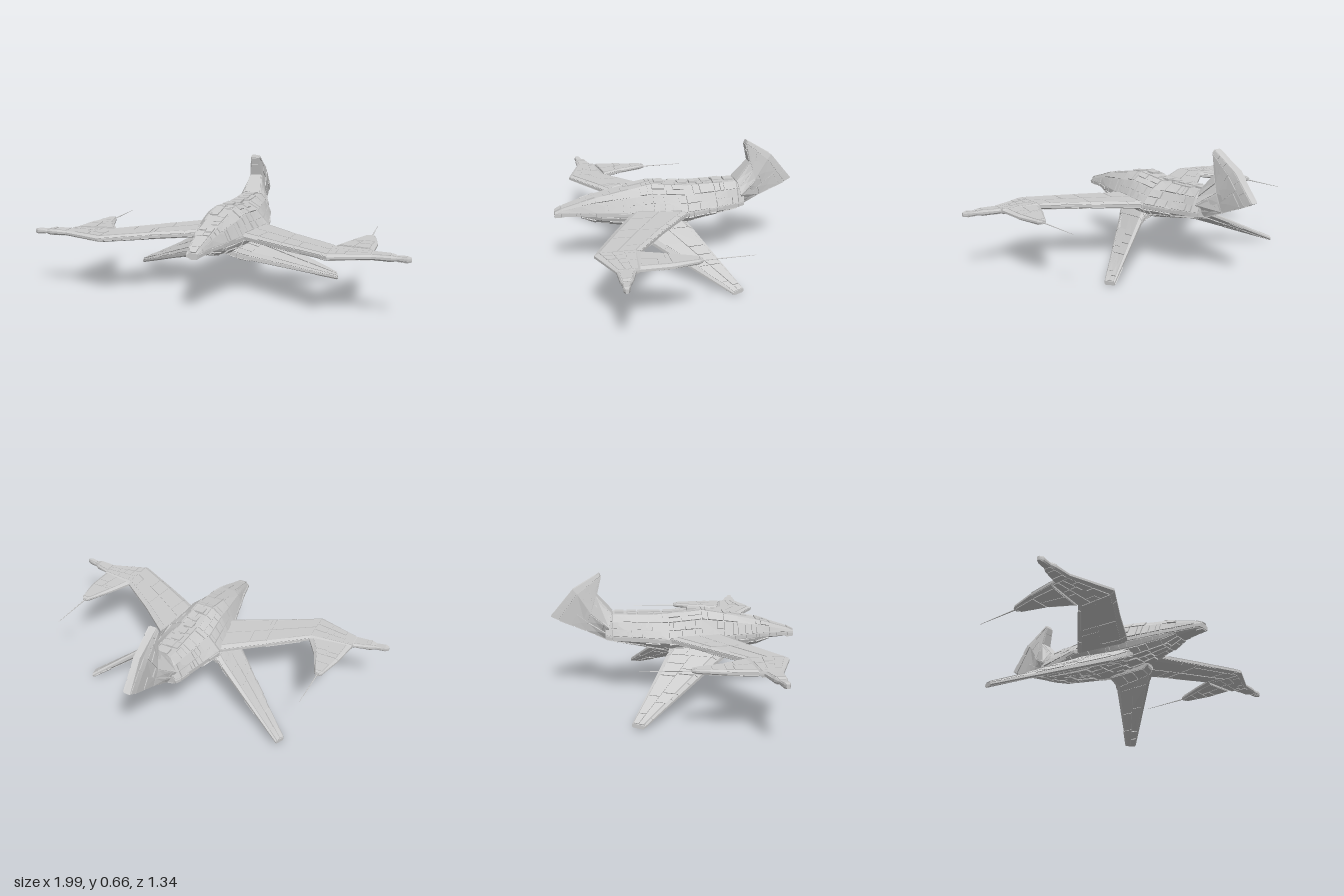
import * as THREE from 'three';
import { mergeGeometries } from 'three/addons/utils/BufferGeometryUtils.js';

const V = (x, y, z) => new THREE.Vector3(x, y, z);
const material = new THREE.MeshStandardMaterial({ color: 0xcccccc, flatShading: true });

// small seeded generator for the plating
let seed = 7;
const rand = () => (seed = (seed * 16807) % 2147483647) / 2147483647;
const centre = (pts) => pts.reduce((s, p) => s.add(p), V(0, 0, 0)).divideScalar(pts.length);

// closed solid from cross-sections, turned outward by its signed volume
function loft(rings) {
  const tris = [], n = rings[0].length;
  for (let i = 0; i < rings.length - 1; i++)
    for (let j = 0; j < n; j++) {
      const k = (j + 1) % n, a = rings[i], b = rings[i + 1];
      tris.push([a[j], b[j], b[k]], [a[j], b[k], a[k]]);
    }
  const first = rings[0], last = rings[rings.length - 1], c0 = centre(first), c1 = centre(last);
  for (let j = 0; j < n; j++) {
    const k = (j + 1) % n;
    tris.push([c0, first[j], first[k]], [c1, last[k], last[j]]);
  }
  let volume = 0;
  for (const [a, b, c] of tris)
    volume += a.clone().sub(c0).dot(b.clone().sub(c0).cross(c.clone().sub(c0)));
  const pos = [];
  for (const [a, b, c] of tris)
    for (const p of volume > 0 ? [a, b, c] : [a, c, b]) pos.push(p.x, p.y, p.z);
  const g = new THREE.BufferGeometry();
  g.setAttribute('position', new THREE.Float32BufferAttribute(pos, 3));
  g.computeVertexNormals();
  return g;
}

// raised plates of varied size over one four-cornered face
function plates(a, b, c, d, outward, cell, height) {
  const out = [];
  const at = (u, v) => a.clone().lerp(b, u).lerp(d.clone().lerp(c, u), v);
  const normal = c.clone().sub(a).cross(d.clone().sub(b)).normalize();
  if (normal.dot(outward) < 0) normal.negate();
  const lu = (a.distanceTo(b) + d.distanceTo(c)) / 2, lv = (a.distanceTo(d) + b.distanceTo(c)) / 2;
  if (Math.min(lu, lv) < 0.02) return out;
  const nv = Math.max(1, Math.round(lv / cell)), gu = 0.003 / lu, gv = 0.003 / lv;
  for (let j = 0; j < nv; j++) {
    let u = 0;
    while (u < 0.98) {
      let end = Math.min(1, u + (cell * (0.5 + rand() * 1.8)) / lu);
      if (1 - end < 0.02 / lu) end = 1;
      const u0 = u + gu, u1 = end - gu, v0 = j / nv + gv, v1 = (j + 1) / nv - gv;
      u = end;
      if (rand() < 0.15 || u1 <= u0) continue;
      const quad = [at(u0, v0), at(u1, v0), at(u1, v1), at(u0, v1)];
      const h = height * (0.35 + 0.65 * rand());
      out.push(loft([
        quad.map((p) => p.clone().addScaledVector(normal, -0.002)),
        quad.map((p) => p.clone().addScaledVector(normal, h)),
      ]));
    }
  }
  return out;
}

// hull body with plating on all its large faces
function platedHull(name, rings, cell, height) {
  const group = new THREE.Group(), parts = [], n = rings[0].length;
  group.name = name;
  const hull = new THREE.Mesh(loft(rings), material);
  hull.name = name + 'Core';
  group.add(hull);
  for (let i = 0; i < rings.length - 1; i++) {
    const mid = centre([...rings[i], ...rings[i + 1]]);
    for (let j = 0; j < n; j++) {
      const k = (j + 1) % n, q = [rings[i][j], rings[i + 1][j], rings[i + 1][k], rings[i][k]];
      parts.push(...plates(...q, centre(q).sub(mid), cell, height));
    }
  }
  if (parts.length) {
    const plating = new THREE.Mesh(mergeGeometries(parts), material);
    plating.name = name + 'Plating';
    group.add(plating);
  }
  return group;
}

// blade section: lead and trail points, half thickness along dir, chamfered edges
const blade = (stations, dir) => stations.map(([lead, trail, t]) =>
  [[0, 0.4], [0.1, 1], [0.9, 1], [1, 0.4], [1, -0.4], [0.9, -1], [0.1, -1], [0, -0.4]].map(
    ([u, s]) => V(...lead).lerp(V(...trail), u).addScaledVector(dir, s * t)));

export function createModel() {
  seed = 7;
  const model = new THREE.Group();
  const up = V(0, 1, 0);

  // fuselage: z, half width, widest y, top half width, top y, bottom half width, bottom y
  const sections = [
    [0.67, 0.026, 0.315, 0.018, 0.33, 0.02, 0.303],
    [0.63, 0.036, 0.318, 0.026, 0.35, 0.026, 0.303],
    [0.53, 0.055, 0.32, 0.036, 0.38, 0.035, 0.297],
    [0.45, 0.08, 0.32, 0.042, 0.402, 0.05, 0.268],
    [0.27, 0.125, 0.318, 0.05, 0.438, 0.075, 0.25],
    [0.15, 0.152, 0.318, 0.046, 0.458, 0.085, 0.25],
    [-0.03, 0.182, 0.318, 0.048, 0.438, 0.09, 0.25],
    [-0.2, 0.142, 0.32, 0.05, 0.438, 0.07, 0.276],
    [-0.33, 0.112, 0.322, 0.05, 0.442, 0.06, 0.3],
    [-0.37, 0.095, 0.325, 0.045, 0.42, 0.05, 0.308],
  ];
  const fuselage = sections.map(([z, w, y, tw, ty, bw, by]) => {
    const sw = tw + (w - tw) * 0.5, sy = y + (ty - y) * 0.7;
    const lw = bw + (w - bw) * 0.75, ly = y + (by - y) * 0.6;
    const half = [[tw, ty], [sw, sy], [w, y + 0.01], [w, y - 0.012], [lw, ly], [bw, by]];
    return [...half, ...half.map(([x, v]) => [-x, v]).reverse()].map(([x, v]) => V(x - 0.007, v, z));
  });
  model.add(platedHull('fuselage', fuselage, 0.045, 0.009));

  // dorsal spine blocks
  for (let i = 0; i < 7; i++) {
    const block = new THREE.Mesh(new THREE.BoxGeometry(0.05 - 0.012 * (i % 2), 0.014, 0.05), material);
    block.name = 'spineBlock';
    block.position.set(-0.007, i === 0 ? 0.46 : 0.444, 0.1 - i * 0.066);
    model.add(block);
  }

  // swept tail: neck flaring into an upright fin
  const tail = [
    [[0.335, 0.444], [0.37, 0.306], [0.37, 0.306], 0.1, 0.05],
    [[0.42, 0.54], [0.45, 0.445], [0.475, 0.348], 0.045, 0.032],
    [[0.395, 0.645], [0.52, 0.55], [0.625, 0.408], 0.033, 0.024],
    [[0.402, 0.662], [0.545, 0.575], [0.668, 0.428], 0.024, 0.018],
  ].map(([a, m, b, t, e], i) => {
    const mid = i ? m : [0.35, 0.375];
    const side = [[a, e], [mid, t], [b, e]].map(([p, w]) => [w, p[1], -p[0]]);
    return [...side, ...side.map(([x, y, z]) => [-x, y, z]).reverse()].map(([x, y, z]) => V(x - 0.007, y, z));
  });
  model.add(platedHull('tailFin', tail, 0.06, 0.006));

  // per side: elbow and tip positions differ a little
  const sides = [
    { label: 'right', s: -1, elbow: 0.578, boom: [[0.807, 0.578], [0.786, 0.65], [0.752, 0.704]],
      needle: 0.727, needleEnd: 0.2, root: 0.14, trail: 0.185, tip: 0.655, tipTrail: 0.635 },
    { label: 'left', s: 1, elbow: 0.61, boom: [[0.807, 0.61], [0.807, 0.66], [0.78, 0.73]],
      needle: 0.754, needleEnd: 0.215, root: 0.085, trail: 0.17, tip: 0.548, tipTrail: 0.53 },
  ];
  for (const { label, s, elbow, boom, needle, needleEnd, root, trail, tip, tipTrail } of sides) {
    // forward-swept main wing in two panels
    const span = (x0, z0, x1, z1, t) => [[s * x0, 0.32, z0], [s * x1, 0.32, z1], t];
    const wingStations = [
      span(0.06, 0.23, 0.1, -0.06, 0.019),
      span(0.12, 0.27, 0.18, -0.025, 0.019),
      span(0.355, 0.4, 0.385, 0.148, 0.017),
      span(elbow, 0.535, elbow, 0.315, 0.015),
    ];
    model.add(platedHull(label + 'MainWing', blade(wingStations, up), 0.12, 0.004));

    // wing pod with stepped outer tip
    const pod = [
      span(elbow, 0.535, elbow, 0.315, 0.015),
      span(0.807, 0.46, 0.807, 0.35, 0.013),
      span(0.81, 0.46, 0.81, 0.37, 0.012),
      span(0.9, 0.46, 0.9, 0.398, 0.015),
      span(0.925, 0.453, 0.925, 0.413, 0.01),
      span(0.975, 0.458, 0.975, 0.426, 0.014),
      span(0.994, 0.45, 0.994, 0.435, 0.01),
    ];
    model.add(platedHull(label + 'WingPod', blade(pod, up), 0.05, 0.004));

    // tapering boom behind the pod
    const boomZ = [0.35, 0.2, 0.065];
    const boomRings = boom.map(([o, i], n) => span(o, boomZ[n], i, boomZ[n] - (n ? 0 : 0.035), 0.015 - n * 0.002));
    boomRings.push(span(needle + 0.012, 0.045, needle - 0.012, 0.045, 0.007));
    model.add(platedHull(label + 'PodBoom', blade(boomRings, up), 0.07, 0.004));

    // needle antenna
    const length = 0.06 + needleEnd;
    const antenna = new THREE.Mesh(new THREE.CylinderGeometry(0.0012, 0.004, length, 6), material);
    antenna.name = label + 'Antenna';
    antenna.rotation.x = -Math.PI / 2;
    antenna.position.set(s * needle, 0.318, 0.06 - length / 2);
    model.add(antenna);

    // drooping lower wing swept back from the belly
    const lower = [
      [[s * (root - 0.05), 0.245, 0.28], [s * (trail - 0.09), 0.28, -0.02], 0.03],
      [[s * root, 0.228, 0.28], [s * trail, 0.25, -0.03], 0.028],
      [[s * (root + 0.055), 0.2, 0.225], [s * (trail + 0.035), 0.235, -0.05], 0.024],
      [[s * tip, 0.013, -0.175], [s * tipTrail, 0.021, -0.235], 0.01],
    ];
    model.add(platedHull(label + 'LowerWing', blade(lower, up), 0.09, 0.005));
  }
  return model;
}
